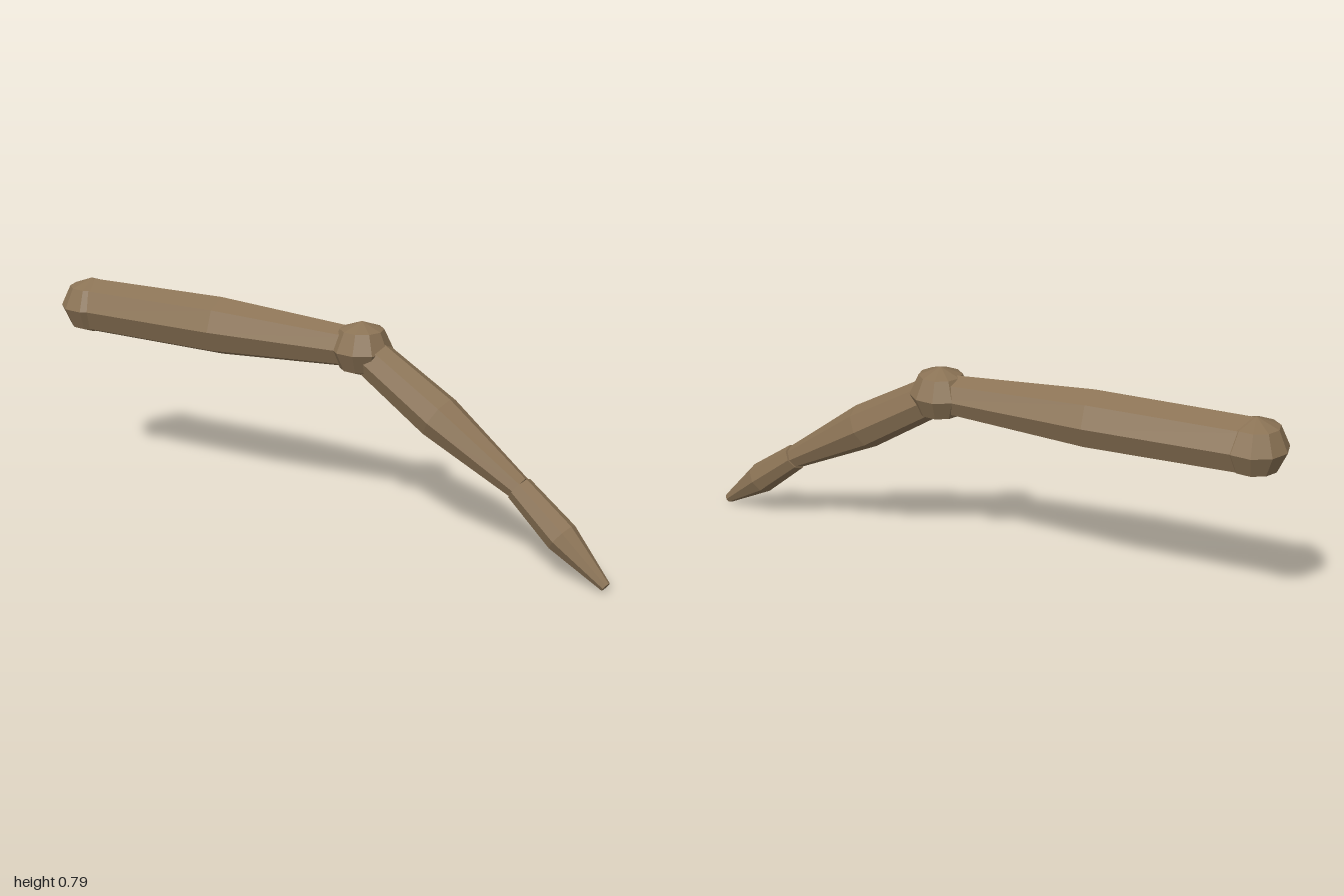
import * as THREE from 'three';

const bark = new THREE.MeshStandardMaterial({ color: 0x8b7355 });
bark.name = 'brown';

// Flat facets come from splitting every triangle
function faceted(geometry) {
  const flat = geometry.toNonIndexed();
  flat.computeVertexNormals();
  return flat;
}

// Tapered limb segment with a swollen middle and closed ends
function limb(name, from, to, rStart, rMid, rEnd) {
  const a = new THREE.Vector3(...from);
  const dir = new THREE.Vector3(...to).sub(a);
  const length = dir.length();
  const profile = [[0, 0], [rStart, 0], [rMid, length / 2], [rEnd, length], [0, length]]
    .map(([r, y]) => new THREE.Vector2(r, y));
  const mesh = new THREE.Mesh(faceted(new THREE.LatheGeometry(profile, 8)), bark);
  mesh.name = name;
  mesh.position.copy(a);

  // Keep one ridge of the octagon facing upwards
  const along = dir.normalize();
  const side = new THREE.Vector3().crossVectors(along, new THREE.Vector3(0, 1, 0)).normalize();
  const ridge = new THREE.Vector3().crossVectors(side, along);
  mesh.quaternion.setFromRotationMatrix(new THREE.Matrix4().makeBasis(side, along, ridge.negate()));
  // makeBasis needs a right-handed frame: side x along = ridge direction
  const z = new THREE.Vector3().crossVectors(side, along);
  mesh.quaternion.setFromRotationMatrix(new THREE.Matrix4().makeBasis(side, along, z));
  return mesh;
}

// Slightly squashed ball joint
function joint(name, at, radius) {
  const mesh = new THREE.Mesh(faceted(new THREE.SphereGeometry(radius, 10, 4).scale(1, 0.9, 1)), bark);
  mesh.name = name;
  mesh.position.set(...at);
  return mesh;
}

export function createModel() {
  const group = new THREE.Group();
  group.name = 'arm';

  const shoulder = [-0.88, 0.68, -0.533];
  const elbow = [0.155, 0.68, 0.027];
  const wrist = [0.7, 0.288, 0.395];
  const tip = [0.983, 0.018, 0.625];

  group.add(
    joint('shoulder', shoulder, 0.12),
    limb('upperArm', shoulder, elbow, 0.105, 0.11, 0.073),
    joint('elbow', elbow, 0.113),
    limb('forearm', elbow, wrist, 0.073, 0.085, 0.045),
    limb('hand', wrist, tip, 0.05, 0.06, 0.019),
  );
  return group;
}
